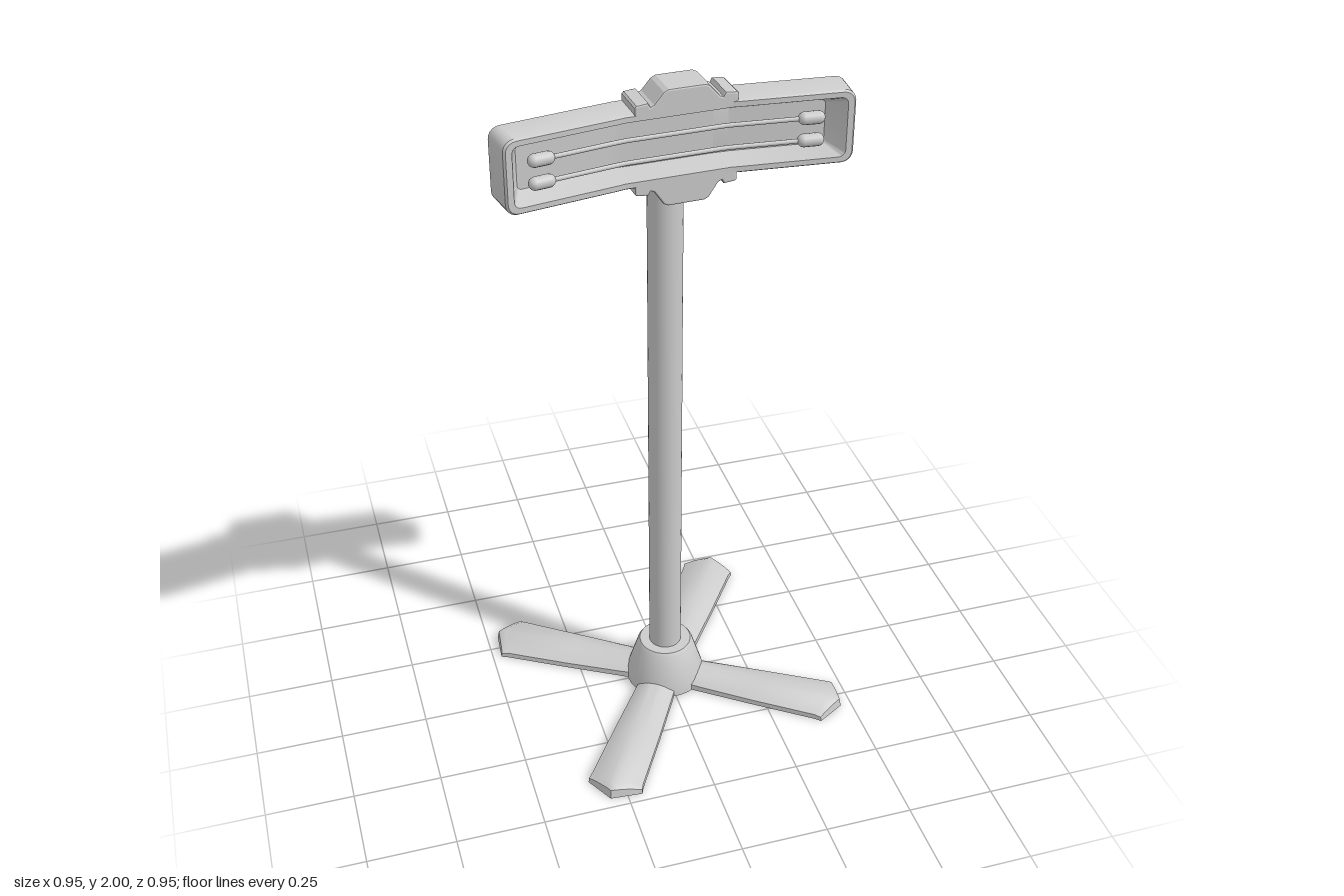
import * as THREE from 'three';
import { toCreasedNormals } from 'three/addons/utils/BufferGeometryUtils.js';

const grey = new THREE.MeshStandardMaterial({ color: 0xcccccc });
const greyDouble = new THREE.MeshStandardMaterial({ color: 0xcccccc, side: THREE.DoubleSide });

function add(parent, name, geometry, material = grey) {
  const mesh = new THREE.Mesh(geometry, material);
  mesh.name = name;
  parent.add(mesh);
  return mesh;
}

// Joins rows of points into quads; extra(quad) may add further faces.
function meshFromQuads(build, crease = 0.6) {
  const pos = [];
  build((a, b, c, d) => [a, b, c, a, c, d].forEach((p) => pos.push(p.x, p.y, p.z)));
  const geometry = new THREE.BufferGeometry();
  geometry.setAttribute('position', new THREE.Float32BufferAttribute(pos, 3));
  return toCreasedNormals(geometry, crease);
}

// The lamp head is straight in the middle and its wings turn forward.
const KINK = 0.14, ANGLE = 0.133;
function bend(s, y, n) {
  const t = Math.abs(s) - KINK;
  if (t <= 0) return new THREE.Vector3(s, y, n);
  const x = KINK + t * Math.cos(ANGLE) - n * Math.sin(ANGLE);
  return new THREE.Vector3(Math.sign(s) * x, y, t * Math.sin(ANGLE) + n * Math.cos(ANGLE));
}

// Rounded rectangle ring, counter-clockwise, bottom half mirrors the top half.
function ring(hw, hh, r, n, dy = 0) {
  const top = [];
  for (let i = 0; i <= 5; i++) {
    const a = (i / 5) * Math.PI / 2;
    top.push([hw - r + r * Math.cos(a), hh - r + r * Math.sin(a)]);
  }
  top.push([KINK + 0.03, hh], [KINK, hh], [KINK - 0.03, hh]);
  const left = top.map(([x, y]) => [-x, y]).reverse();
  const upper = [...top, ...left];
  const lower = upper.map(([x, y]) => [x, -y]).reverse();
  return [...upper, ...lower].map(([x, y]) => bend(x, y + dy, n));
}

// Open-fronted shell with a sloping reflector recess
function housingShell() {
  const rings = [
    ring(0.463, 0.093, 0.027, 0), ring(0.468, 0.098, 0.03, 0.006),
    ring(0.468, 0.098, 0.03, 0.094), ring(0.463, 0.094, 0.027, 0.1),
    ring(0.447, 0.08, 0.018, 0.1), ring(0.41, 0.058, 0.012, 0.03, -0.01),
  ];
  return meshFromQuads((quad) => {
    const count = rings[0].length;
    for (let k = 0; k < rings.length - 1; k++) {
      const a = rings[k], b = rings[k + 1];
      for (let j = 0; j < count; j++) {
        const m = (j + 1) % count;
        quad(a[j], a[m], b[m], b[j]);
      }
    }
    const back = rings[0], floor = rings[rings.length - 1];
    for (let i = 0; i < count / 2 - 1; i++) {
      const p = count - 1 - i;
      quad(floor[i], floor[i + 1], floor[p - 1], floor[p]);
      quad(back[p], back[p - 1], back[i + 1], back[i]);
    }
  });
}

// Clamp profile: two feet with a raised block between, dir is 1 (top) or -1 (bottom)
function clamp(height, dir) {
  const half = [[0.135, 0.085], [0.135, 0.115], [0.13, 0.12], [0.1, 0.123], [0.094, 0.112],
    [0.085, 0.116], [0.06, height - 0.006], [0.048, height]];
  const points = [...half, ...half.map(([x, y]) => [-x, y]).reverse()];
  const shape = new THREE.Shape(points.map(([x, y]) => new THREE.Vector2(x, y * dir)));
  const b = 0.005;
  const geometry = new THREE.ExtrudeGeometry(shape, {
    depth: 0.1 - 2 * b, bevelSize: b, bevelThickness: b, bevelOffset: -b, bevelSegments: 2,
  });
  geometry.translate(0.02, 0, b);
  return geometry;
}

// Arched leg, open underneath, with a pointed end; runs along +x
function legGeometry() {
  // distance from the centre, half width, crown height, edge height, point amount
  const stations = [
    [0.06, 0.055, 0.05, 0.02, 0], [0.12, 0.059, 0.042, 0.018, 0], [0.3, 0.069, 0.04, 0.016, 0],
    [0.53, 0.077, 0.038, 0.016, 0.04], [0.55, 0.08, 0.027, 0.013, 0.041],
    [0.555, 0.081, 0, 0, 0.043],
  ];
  const rows = stations.map(([u, w, crown, edge, tip]) => {
    const row = [];
    for (let i = 0; i <= 12; i++) {
      const j = i / 6 - 1;
      const y = edge + (crown - edge) * (1 - j * j);
      row.push(new THREE.Vector3(u - tip * Math.abs(j), y, -w * j));
    }
    const foot = (p) => new THREE.Vector3(p.x, 0, p.z * 1.01);
    return [foot(row[0]), ...row, foot(row[12])];
  });
  return meshFromQuads((quad) => {
    for (let k = 0; k < rows.length - 1; k++)
      for (let i = 0; i < rows[0].length - 1; i++)
        quad(rows[k][i], rows[k + 1][i], rows[k + 1][i + 1], rows[k][i + 1]);
  });
}

// Flared block joining the pole to the head, its top sloping down to the rear
function mountGeometry() {
  const s = new THREE.Shape();
  s.moveTo(-0.132, -0.075);
  s.lineTo(0.142, -0.075);
  s.lineTo(0.112, 0.03);
  s.quadraticCurveTo(0.107, 0.057, 0.085, 0.057);
  s.lineTo(-0.07, 0.057);
  s.quadraticCurveTo(-0.092, 0.057, -0.1, 0.03);
  s.closePath();
  const b = 0.008;
  const g = new THREE.ExtrudeGeometry(s, {
    depth: 0.17 - 2 * b, bevelSize: b, bevelThickness: b, bevelOffset: -b, bevelSegments: 3, curveSegments: 8,
  });
  g.rotateX(-Math.PI / 2).translate(0, 1.748 + b, 0);
  const p = g.attributes.position;
  for (let i = 0; i < p.count; i++)
    if (p.getY(i) > 1.83) p.setY(i, p.getY(i) - 0.25 * (0.05 - p.getZ(i)));
  g.deleteAttribute('normal');
  return toCreasedNormals(g, 0.6);
}

export function createModel() {
  const model = new THREE.Group();
  model.name = 'standingHeater';

  // Base: four legs around a conical hub
  const leg = legGeometry();
  for (let i = 0; i < 4; i++)
    add(model, 'leg', leg, greyDouble).rotation.y = 1.0 + i * Math.PI / 2;
  const hubProfile = [[0.118, 0], [0.115, 0.03], [0.084, 0.13], [0.077, 0.14], [0.045, 0.14]];
  const hub = new THREE.LatheGeometry(hubProfile.map(([x, y]) => new THREE.Vector2(x, y)), 32);
  add(model, 'hub', toCreasedNormals(hub, 0.6), greyDouble);

  // Pole and the mount behind the head
  const pole = new THREE.CylinderGeometry(0.048, 0.048, 1.77, 32);
  add(model, 'pole', pole).position.y = 0.915;
  add(model, 'headMount', mountGeometry());

  // Head, turned slightly to one side
  const head = new THREE.Group();
  head.name = 'head';
  head.position.set(-0.0145, 1.849, 0.052);
  head.rotation.y = 0.06;
  model.add(head);
  add(head, 'headShell', housingShell());
  add(head, 'topClamp', clamp(0.151, 1));
  add(head, 'bottomClamp', clamp(0.159, -1));

  // Two heating rods with a socket at each end
  for (const y of [0.021, -0.039]) {
    const path = [];
    for (let i = -8; i <= 8; i++) path.push(bend(i * 0.043, y, 0.072));
    const curve = new THREE.CatmullRomCurve3(path);
    add(head, 'heatingRod', new THREE.TubeGeometry(curve, 32, 0.006, 10));
    for (const side of [-1, 1]) {
      const socket = add(head, 'rodSocket', new THREE.CapsuleGeometry(0.017, 0.036, 5, 14));
      socket.position.copy(bend(side * 0.362, y, 0.072));
      socket.rotation.set(0, -side * ANGLE, Math.PI / 2);
    }
  }
  return model;
}
